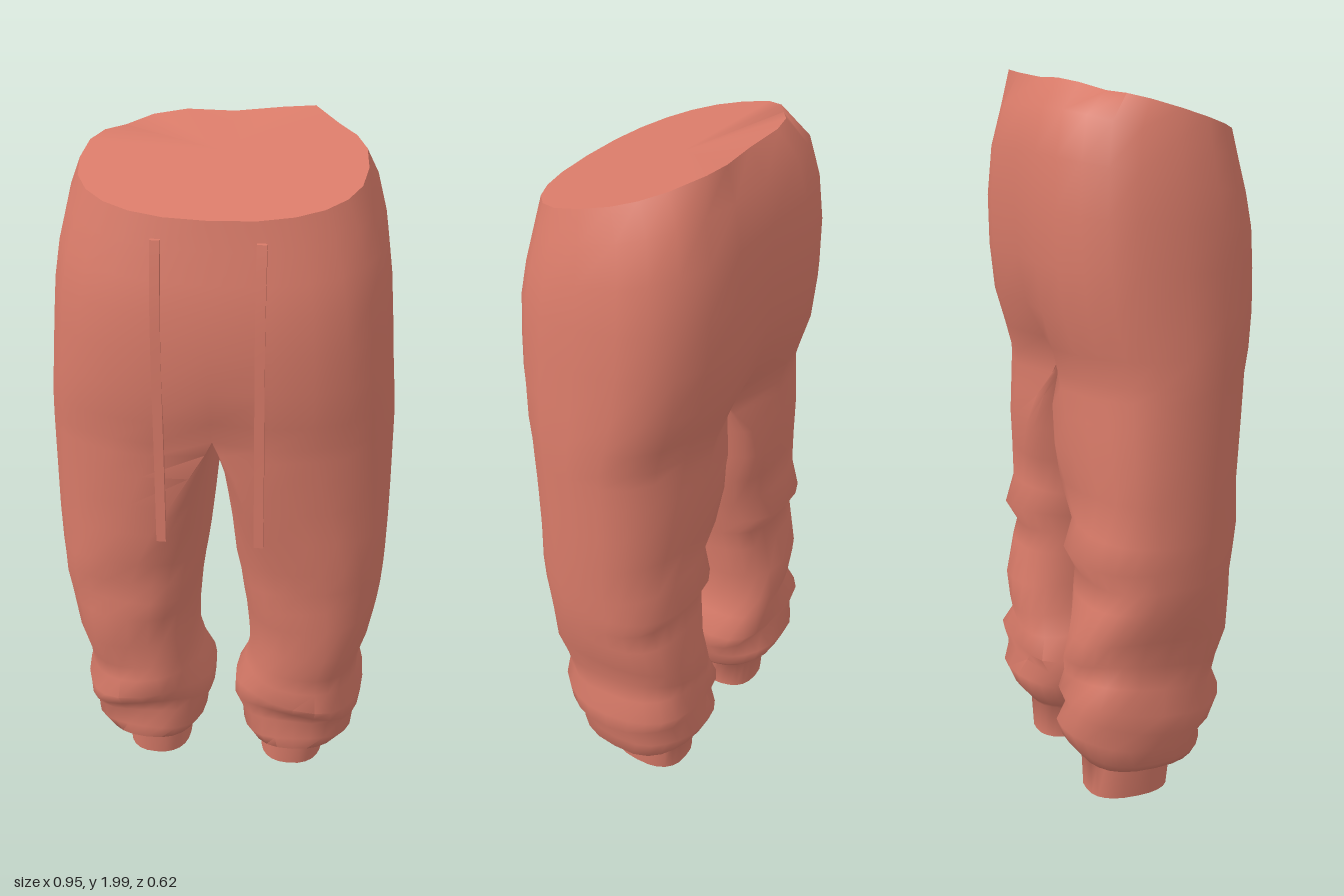
import * as THREE from 'three';
import { toCreasedNormals } from 'three/addons/utils/BufferGeometryUtils.js';

const HALF = 12; // segments from front centre to back centre
const LEG_ROUND = 0.84;

// Torso rows: y, outer x, front z, back z, forward tilt, front crease, back crease, roundness
const TORSO = [
  [1.21, 0.475, 0.285, -0.25, 0, 0.16, 0.26, LEG_ROUND],
  [1.28, 0.472, 0.297, -0.268, 0, 0.07, 0.17, 0.81],
  [1.38, 0.464, 0.308, -0.298, 0, 0.02, 0.09, 0.78],
  [1.50, 0.456, 0.311, -0.313, 0.04, 0, 0.06, 0.77],
  [1.62, 0.447, 0.309, -0.317, 0.10, 0, 0.05, 0.77],
  [1.73, 0.432, 0.298, -0.307, 0.20, 0, 0.04, 0.79],
  [1.83, 0.406, 0.282, -0.28, 0.28, 0, 0.03, 0.81],
  [1.911, 0.375, 0.27, -0.23, 0.30, 0, 0.04, 0.85],
];

// Leg rows: y, inner x, outer x, front z, back z, flatness of inner side, wrinkle
const LEG = [
  [0.00, 0.115, 0.305, 0.052, -0.185, 0, 0],
  [0.10, 0.11, 0.315, 0.062, -0.19, 0, 0],
  [0.112, 0.085, 0.365, 0.125, -0.205, 0, 0.01],
  [0.15, 0.06, 0.398, 0.138, -0.24, 0, 0.03],
  [0.20, 0.055, 0.402, 0.13, -0.258, 0, 0.04],
  [0.25, 0.035, 0.42, 0.158, -0.238, 0, 0.05],
  [0.30, 0.035, 0.425, 0.18, -0.262, 0, 0.05],
  [0.36, 0.065, 0.408, 0.17, -0.238, 0, 0.04],
  [0.42, 0.08, 0.408, 0.185, -0.24, 0, 0.04],
  [0.50, 0.08, 0.437, 0.192, -0.235, 0, 0.03],
  [0.60, 0.07, 0.456, 0.20, -0.218, 0.03, 0.02],
  [0.66, 0.062, 0.463, 0.205, -0.205, 0.06, 0.025],
  [0.72, 0.055, 0.468, 0.212, -0.237, 0.1, 0.025],
  [0.79, 0.043, 0.471, 0.22, -0.212, 0.18, 0.02],
  [0.90, 0.03, 0.474, 0.235, -0.228, 0.36, 0.01],
  [1.00, 0.02, 0.475, 0.25, -0.238, 0.56, 0],
  [1.10, 0.012, 0.475, 0.267, -0.243, 0.78, 0],
  [1.17, 0.006, 0.475, 0.279, -0.247, 0.94, 0],
];

const soft = (v, e) => Math.sign(v) * Math.pow(Math.abs(v), e);

// One point of a slightly squared oval whose widest front point sits at xm;
// the back is a little squarer than the front
function sectionPoint(angle, xIn, xm, xOut, zf, zb, creaseF, creaseB, round) {
  const e = Math.cos(angle) > 0 ? round : round - 0.06;
  const s = soft(Math.sin(angle), e), c = soft(Math.cos(angle), e);
  const x = s >= 0 ? xm + (xOut - xm) * s : xm + (xm - xIn) * s;
  const crease = (c > 0 ? creaseF : creaseB) * Math.exp(-((x / 0.08) ** 2));
  return [x, (zf + zb) / 2 + ((zf - zb) / 2) * c * (1 - crease)];
}

const bump = (x, centre) => Math.exp(-(((x - centre) / 0.06) ** 2));

function torsoRing(row, isRim) {
  const [y, xOut, zf, zb, tilt, cf, cb, round] = row;
  return Array.from({ length: HALF * 2 }, (_, k) => {
    const side = k <= HALF ? 1 : -1;
    const kk = k <= HALF ? k : HALF * 2 - k;
    let [x, z] = sectionPoint(kk * Math.PI / HALF, 0, 0, xOut, zf, zb, cf, cb, round);
    x = Math.abs(x) < 1e-6 ? 0 : x * side;
    // uneven rear waistband: a peak on one side, a dip on the other
    const peak = isRim && z < 0 ? 0.04 * bump(x, 0.19) - 0.02 * bump(x, -0.28) : 0;
    z -= peak;
    return [x, y - tilt * z + peak * 0.4, z];
  });
}

function legRing(row) {
  const [y, xIn, xOut, zf, zb, flat, wrinkle] = row;
  const mid = (xIn + xOut) / 2;
  const xm = THREE.MathUtils.lerp(mid, xIn, flat);
  const zc = (zf + zb) / 2;
  const crease = flat * flat;
  return Array.from({ length: HALF * 2 }, (_, k) => {
    const a = k * Math.PI / HALF;
    const [x, z] = sectionPoint(a, xIn, xm, xOut, zf, zb, 0.16 * crease, 0.26 * crease, LEG_ROUND);
    const fold = 1 + wrinkle * Math.sin(3 * a + y * 24) * Math.abs(Math.cos(a));
    return [mid + (x - mid) * fold, y + wrinkle * 0.4 * Math.sin(2 * a + y * 9), zc + (z - zc) * fold];
  });
}

// Top of the leg: follows the torso hem outside and the crotch seam inside
function crotchRing() {
  const [y, xOut, zf, zb, , cf, cb, round] = TORSO[0];
  return Array.from({ length: HALF * 2 }, (_, k) => {
    const [x, z] = sectionPoint(k * Math.PI / HALF, 0, 0, xOut, zf, zb, cf, cb, round);
    return [Math.abs(x) < 1e-6 ? 0 : x, y, z];
  });
}

function loft(out, rings) {
  for (let r = 0; r + 1 < rings.length; r++) {
    const lo = rings[r], hi = rings[r + 1], n = lo.length;
    for (let c = 0; c < n; c++) {
      const d = (c + 1) % n;
      out.push(...lo[c], ...lo[d], ...hi[d], ...lo[c], ...hi[d], ...hi[c]);
    }
  }
}

function trousersGeometry() {
  const out = [];
  // hips and waist, closed by the tilted waist panel
  const torso = TORSO.map((row, i) => torsoRing(row, i === TORSO.length - 1));
  loft(out, torso);
  const rim = torso[torso.length - 1];
  rim.forEach((p, i) => out.push(...p, ...rim[(i + 1) % rim.length], 0, 1.92, -0.03));
  // legs with gathered ankles and open cuffs
  const left = [...LEG.map(legRing), crotchRing()];
  const right = left.map((ring) => ring.map(([x, y, z]) => [x === 0 ? 0 : -x, y, z]).reverse());
  loft(out, left);
  loft(out, right);
  const geometry = new THREE.BufferGeometry();
  geometry.setAttribute('position', new THREE.Float32BufferAttribute(out, 3));
  return toCreasedNormals(geometry, 1.05);
}

// Flat cord lying on the front, hanging free at its lower end
function drawstringGeometry() {
  const path = new THREE.CatmullRomCurve3([
    [0.92, 0.281], [1.2, 0.289], [1.42, 0.3], [1.6, 0.301], [1.72, 0.289], [1.78, 0.28],
  ].map(([y, z]) => new THREE.Vector3(0, y, z)));
  const geometry = new THREE.BoxGeometry(0.026, 1, 0.012, 1, 16, 1);
  const pos = geometry.attributes.position;
  for (let i = 0; i < pos.count; i++) {
    const p = path.getPoint(THREE.MathUtils.clamp(pos.getY(i) + 0.5, 0, 1));
    pos.setXYZ(i, pos.getX(i), p.y, p.z + pos.getZ(i));
  }
  geometry.computeVertexNormals();
  return geometry;
}

export function createModel() {
  const model = new THREE.Group();
  model.name = 'joggingTrousers';
  const cloth = new THREE.MeshStandardMaterial({ color: 0xd97b69, side: THREE.DoubleSide });
  cloth.name = 'coralCloth';

  const trousers = new THREE.Mesh(trousersGeometry(), cloth);
  trousers.name = 'trousers';
  model.add(trousers);

  const cord = drawstringGeometry();
  for (const [name, x] of [['leftDrawstring', 0.132], ['rightDrawstring', -0.135]]) {
    const mesh = new THREE.Mesh(cord, cloth);
    mesh.name = name;
    mesh.position.x = x;
    model.add(mesh);
  }
  return model;
}
